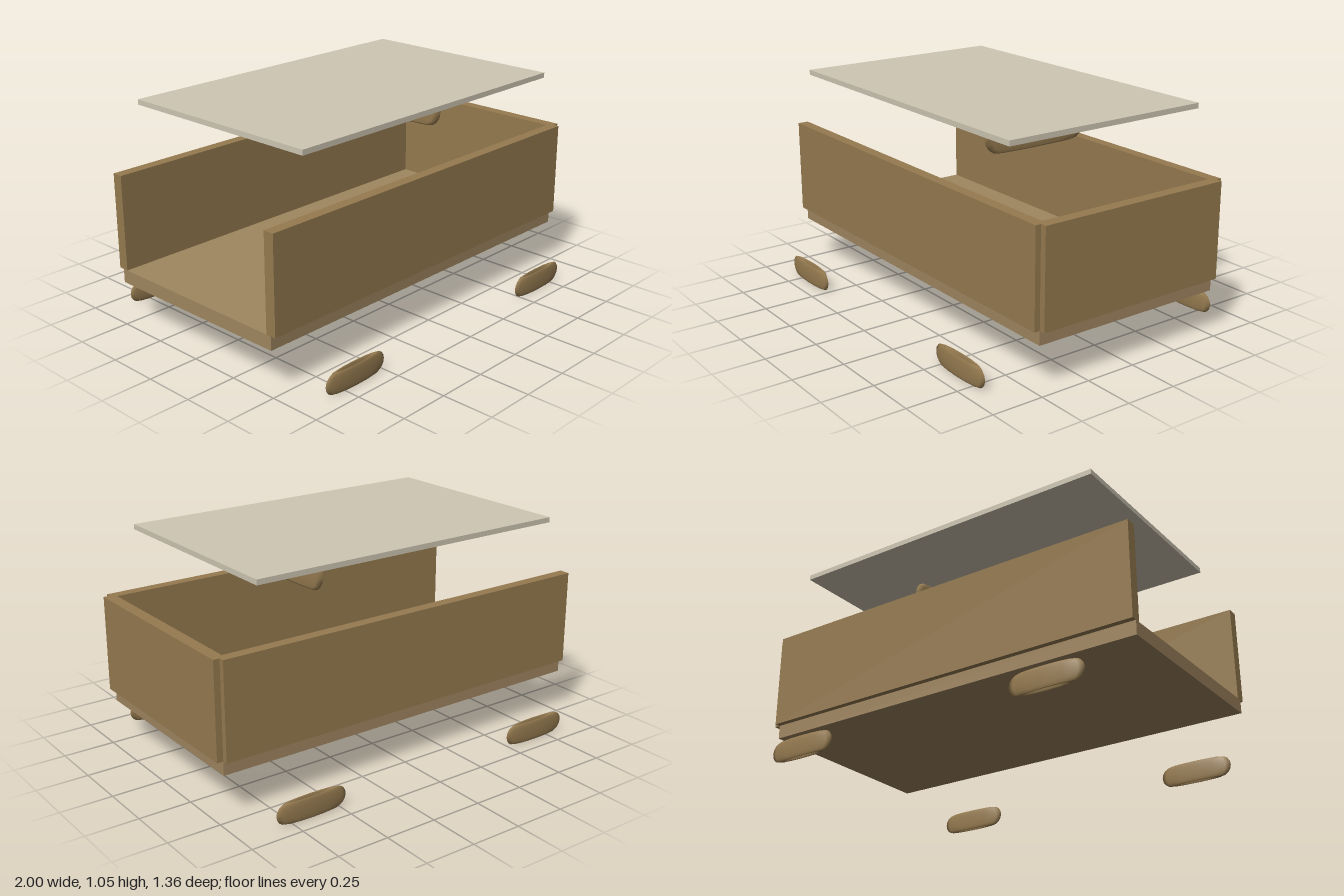
import * as THREE from 'three';

export function createModel() {
  const model = new THREE.Group();
  const wood = new THREE.MeshStandardMaterial({ color: 0x967b50 });
  const paleWood = new THREE.MeshStandardMaterial({ color: 0xa08660 });
  const cream = new THREE.MeshStandardMaterial({ color: 0xcfc7b4 });

  // Box given by its min and max on each axis
  function slab(name, [x0, x1], [y0, y1], [z0, z1], material) {
    const mesh = new THREE.Mesh(new THREE.BoxGeometry(x1 - x0, y1 - y0, z1 - z0), material);
    mesh.name = name;
    mesh.position.set((x0 + x1) / 2, (y0 + y1) / 2, (z0 + z1) / 2);
    model.add(mesh);
  }

  // Lying ring squashed to a narrow oval: long along x, thin along z
  function ovalRing(name, halfLength, halfHeight, halfWidth, position, turn = 0) {
    const geometry = new THREE.TorusGeometry(halfLength - halfHeight, halfHeight, 16, 12);
    geometry.rotateX(Math.PI / 2);
    geometry.scale(1, 1, halfWidth / halfLength);
    const mesh = new THREE.Mesh(geometry, wood);
    mesh.name = name;
    mesh.position.set(...position);
    mesh.rotation.y = turn;
    model.add(mesh);
  }

  // Open-ended tray: floor, two long walls and one end wall
  const wallY = [0.283, 0.742];
  slab('floor', [-1, 0.97], [0.217, 0.283], [-0.493, 0.493], paleWood);
  slab('frontWall', [-1, 0.97], wallY, [0.467, 0.52], wood);
  slab('backWall', [-1, 0.97], wallY, [-0.52, -0.467], wood);
  slab('endWall', [0.944, 1], wallY, [-0.493, 0.493], wood);

  // Floating lid and the handle under it
  slab('lid', [-0.837, 0.807], [1.026, 1.051], [-0.527, 0.527], cream);
  ovalRing('handle', 0.288, 0.078, 0.015, [0.312, 0.907, 0], Math.PI / 2);

  // Four oval feet beside the tray
  for (const x of [-0.674, 0.643]) {
    for (const side of [1, -1]) {
      ovalRing(side > 0 ? 'frontFoot' : 'backFoot', 0.18, 0.05, 0.02, [x, 0.05, side * 0.66]);
    }
  }
  return model;
}
